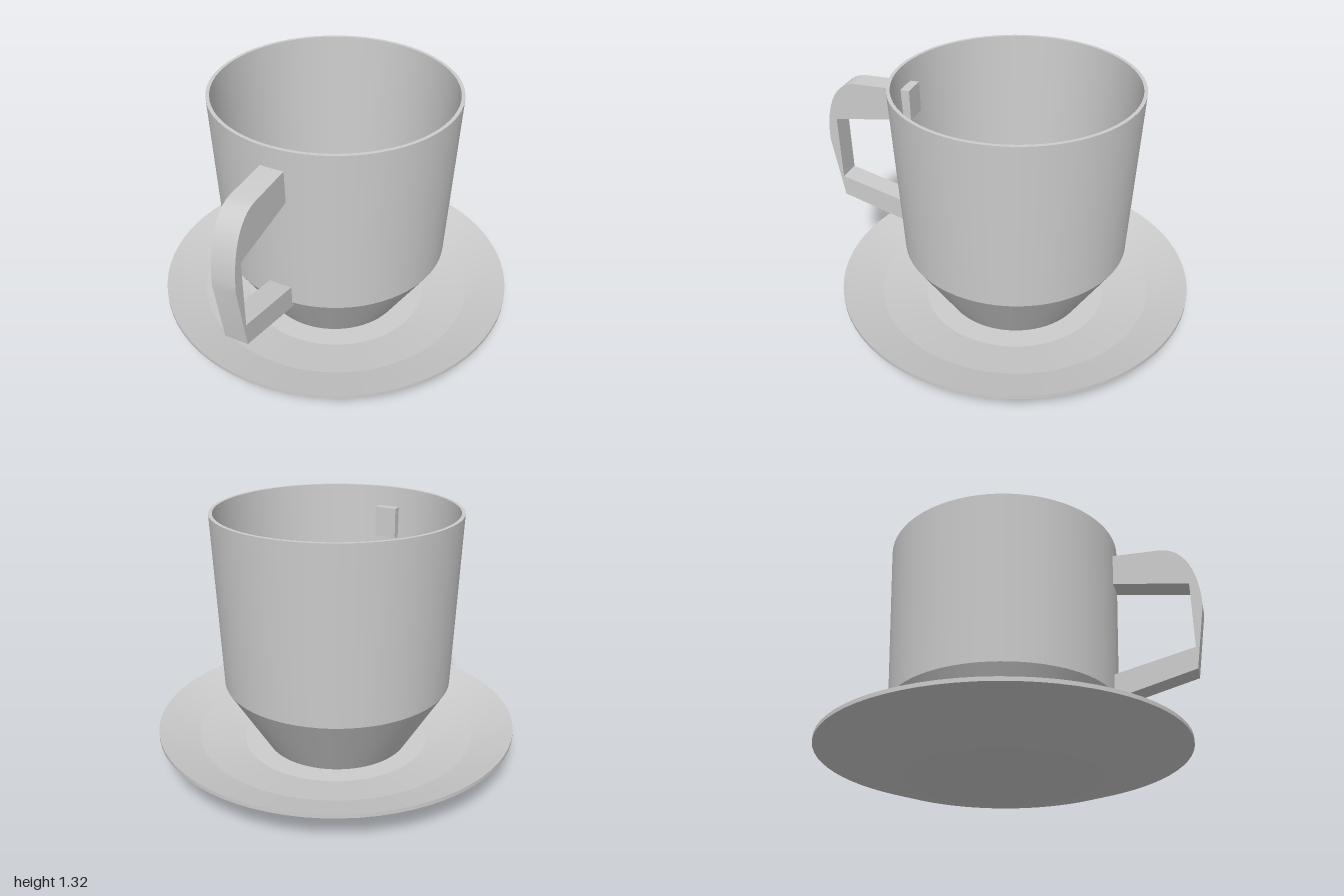
import * as THREE from 'three';
import { mergeGeometries, toCreasedNormals } from 'three/addons/utils/BufferGeometryUtils.js';

// Revolves a profile with a sharp edge at every point and smooth sides between
function turned(profile) {
  const bands = [];
  for (let i = 0; i < profile.length - 1; i++) {
    const pair = [profile[i], profile[i + 1]].map(([r, y]) => new THREE.Vector2(r, y));
    bands.push(new THREE.LatheGeometry(pair, 72));
  }
  return mergeGeometries(bands);
}

export function createModel() {
  const group = new THREE.Group();
  const ceramic = new THREE.MeshStandardMaterial({ color: 0xcccccc });
  ceramic.name = 'grey ceramic';

  const add = (name, geometry, x, z) => {
    const mesh = new THREE.Mesh(geometry, ceramic);
    mesh.name = name;
    mesh.position.set(x, 0, z);
    group.add(mesh);
  };

  // Saucer: pointed underside, stepped slopes, thin rim and dished top
  add('saucer', turned([
    [0, 0.005], [0.345, 0.05], [0.495, 0.05], [0.735, 0.1], [0.945, 0.17],
    [0.945, 0.19], [0.735, 0.12], [0.495, 0.07], [0.345, 0.07], [0, 0.07],
  ]), 0, -0.055);

  // Cup: tapered foot, nearly straight wall, thin lip and hollow inside
  add('cup', turned([
    [0, 0.06], [0.375, 0.06], [0.593, 0.42], [0.628, 1.32],
    [0.61, 1.32], [0.573, 0.42], [0.36, 0.08], [0, 0.08],
  ]), -0.007, -0.055);

  // Handle: side outline drawn in (z, y), with its ends passing through the wall
  const outline = new THREE.Shape();
  outline.moveTo(0.5, 0.384);
  outline.lineTo(0.945, 0.503);
  outline.lineTo(1.0, 0.85);
  outline.bezierCurveTo(1.0, 1.03, 0.945, 1.195, 0.81, 1.204);
  outline.lineTo(0.5, 1.214);
  outline.lineTo(0.5, 1.05);
  outline.lineTo(0.945, 0.98);
  outline.lineTo(0.945, 0.62);
  outline.lineTo(0.5, 0.513);
  outline.closePath();
  const handle = new THREE.ExtrudeGeometry(outline, { depth: 0.12, bevelEnabled: false, curveSegments: 12 });
  handle.rotateY(-Math.PI / 2).translate(0.06, 0, 0);
  add('handle', toCreasedNormals(handle, 0.5), -0.01, 0);

  return group;
}
